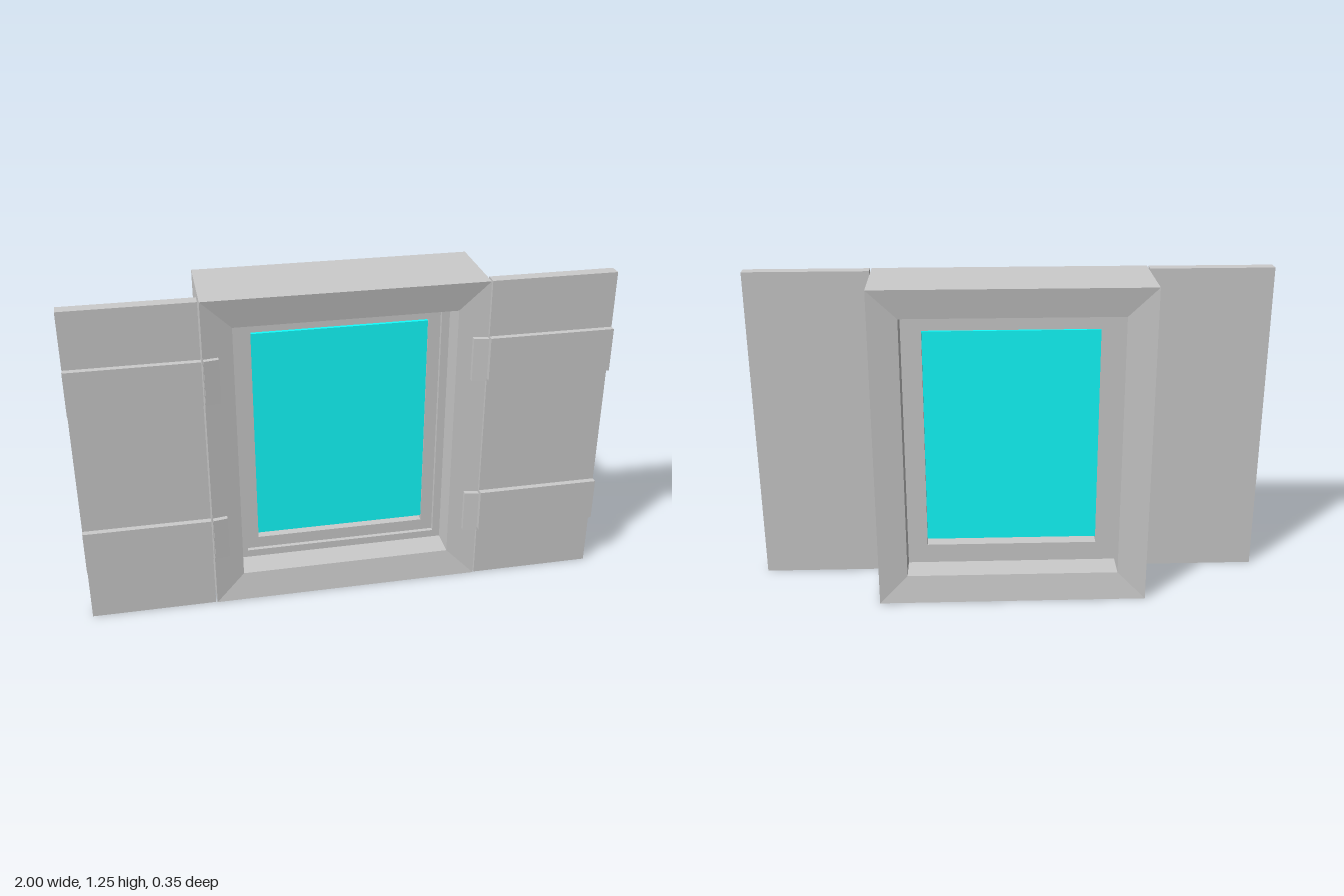
import * as THREE from 'three';

const grey = new THREE.MeshStandardMaterial({ color: 0xcccccc, flatShading: true });
const cyan = new THREE.MeshStandardMaterial({ color: 0x12ffff });

const HALF_W = 0.52, HEIGHT = 1.255;

// Mitred rectangular ring: a closed profile of [inset, z] points swept round the window outline
function mitredRing(profile) {
  const corners = ([inset, z]) => {
    const x = HALF_W - inset, top = HEIGHT - inset;
    return [[-x, inset, z], [x, inset, z], [x, top, z], [-x, top, z]];
  };
  const positions = [];
  profile.forEach((p, j) => {
    const A = corners(p), B = corners(profile[(j + 1) % profile.length]);
    for (let i = 0; i < 4; i++) {
      const k = (i + 1) % 4;
      positions.push(...A[i], ...A[k], ...B[k], ...A[i], ...B[k], ...B[i]);
    }
  });
  const g = new THREE.BufferGeometry();
  g.setAttribute('position', new THREE.Float32BufferAttribute(positions, 3));
  g.computeVertexNormals();
  return g;
}

// Box from its minimum and maximum corners
function boxBetween(x0, x1, y0, y1, z0, z1) {
  return new THREE.BoxGeometry(Math.abs(x1 - x0), y1 - y0, z1 - z0)
    .translate((x0 + x1) / 2, (y0 + y1) / 2, (z0 + z1) / 2);
}

// Upright prism from a plan outline of [x, z] points
function prism(points, y0, y1) {
  const shape = new THREE.Shape(points.map(([x, z]) => new THREE.Vector2(x, -z)));
  return new THREE.ExtrudeGeometry(shape, { depth: y1 - y0, bevelEnabled: false })
    .rotateX(-Math.PI / 2).translate(0, y0, 0);
}

export function createModel() {
  const model = new THREE.Group();
  model.name = 'shutteredWindow';
  const add = (name, geometry, material = grey, parent = model) => {
    const mesh = new THREE.Mesh(geometry, material);
    mesh.name = name;
    parent.add(mesh);
  };

  // Deep casing whose front and back faces slope gently inwards
  add('outerFrame', mitredRing([[0, 0.155], [0.11, 0.137], [0.11, -0.159], [0, -0.175]]));

  // Stepped sash holding the pane
  add('sash', mitredRing([[0.11, 0.027], [0.14, 0.027], [0.14, 0.01],
    [0.187, 0.01], [0.187, -0.047], [0.11, -0.047]]));
  add('glassPane', boxBetween(-0.335, 0.335, 0.205, 1.06, -0.03, 0.005), cyan);

  // Open shutters with battens, and matching hinge plates on the casing
  for (const [side, s] of [['left', 1], ['right', -1]]) {
    const shutter = new THREE.Group();
    shutter.name = side + 'Shutter';
    model.add(shutter);
    add('shutterPanel', boxBetween(s * 0.526, s, 0, HEIGHT, 0.105, 0.152), grey, shutter);
    for (const [y0, y1] of [[0.218, 0.387], [0.872, 1.041]]) {
      add('batten', boxBetween(s * 0.526, s, y0, y1, 0.15, 0.175), grey, shutter);
      add('hingePlate', prism([[s * 0.518, 0.14], [s * 0.518, 0.174],
        [s * 0.464, 0.165], [s * 0.464, 0.14]], y0, y1), grey, shutter);
    }
  }
  return model;
}
